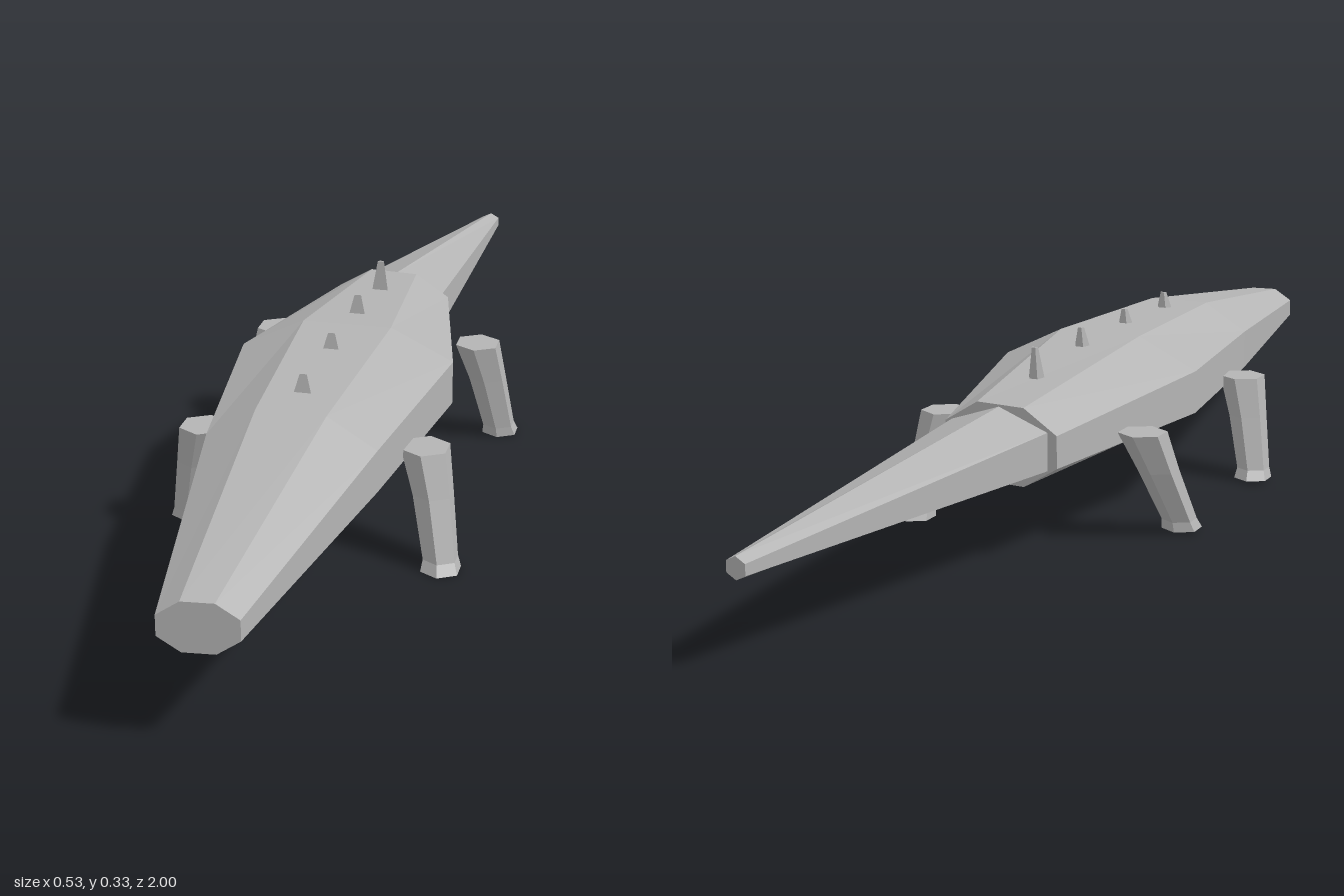
import * as THREE from 'three';

const skin = new THREE.MeshStandardMaterial({ color: 0xb4b4b4, flatShading: true });
skin.name = 'grey skin';

// Skins a list of rings (arrays of Vector3, counter-clockwise seen from the first end) and caps both ends
function loft(name, rings) {
  const pos = [];
  const tri = (...pts) => pts.forEach((p) => pos.push(p.x, p.y, p.z));
  const n = rings[0].length;
  const middle = (ring) => ring.reduce((s, p) => s.add(p), new THREE.Vector3()).divideScalar(n);
  const first = rings[0], last = rings[rings.length - 1];
  const c0 = middle(first), c1 = middle(last);
  for (let j = 0; j < n; j++) {
    const k = (j + 1) % n;
    for (let i = 0; i < rings.length - 1; i++) {
      const a = rings[i], b = rings[i + 1];
      tri(a[j], b[j], a[k]);
      tri(a[k], b[j], b[k]);
    }
    tri(c0, first[j], first[k]);
    tri(c1, last[k], last[j]);
  }
  const geo = new THREE.BufferGeometry();
  geo.setAttribute('position', new THREE.Float32BufferAttribute(pos, 3));
  geo.computeVertexNormals();
  const mesh = new THREE.Mesh(geo, skin);
  mesh.name = name;
  return mesh;
}

// Upright ring across z; skew slides z along x
function crossRing(n, start, [x, y, z, rx, ry, skew = 0]) {
  return Array.from({ length: n }, (_, i) => {
    const a = start + (i / n) * Math.PI * 2;
    const dx = rx * Math.cos(a);
    return new THREE.Vector3(x + dx, y + ry * Math.sin(a), z + dx * skew);
  });
}

// Level hexagon; tilt slides y along x
function levelRing([x, y, z, r, tilt = 0]) {
  return Array.from({ length: 6 }, (_, i) => {
    const a = Math.PI / 6 + (i / 6) * Math.PI * 2;
    const dx = r * Math.cos(a);
    return new THREE.Vector3(x + dx, y + dx * tilt, z - r * Math.sin(a));
  });
}

export function createModel() {
  const group = new THREE.Group();
  group.name = 'crocodile';

  // Body: octagonal sections from the snout to the hips (half width and half height over flats)
  const flat = 1 / Math.cos(Math.PI / 8);
  const sections = [
    [0.009, 0.196, 0.993, 0.06, 0.04, -0.1],
    [0.002, 0.211, 0.47, 0.142, 0.088],
    [0, 0.212, 0.08, 0.191, 0.094],
    [-0.006, 0.193, -0.335, 0.11, 0.068, 0.1],
  ];
  group.add(loft('body', sections.map(([x, y, z, w, h, s]) =>
    crossRing(8, Math.PI / 8, [x, y, z, w * flat, h * flat, s]))));

  // Tail: hexagonal taper swinging to one side
  group.add(loft('tail', [
    crossRing(6, Math.PI / 6, [-0.004, 0.192, -0.33, 0.11, 0.066, 0.1]),
    crossRing(6, Math.PI / 6, [0.073, 0.162, -0.998, 0.02, 0.018, 0.1]),
  ]));

  // Legs: side, hip z, foot z
  const legs = [
    ['frontLeftLeg', 1, 0.32, 0.38],
    ['frontRightLeg', -1, 0.32, 0.28],
    ['backLeftLeg', 1, -0.165, -0.208],
    ['backRightLeg', -1, -0.165, -0.08],
  ];
  for (const [name, side, hip, foot] of legs) {
    const lift = side > 0 ? 0.002 : 0.006;
    const mid = hip + (foot - hip) * 0.35;
    group.add(loft(name, [
      levelRing([side * 0.192, 0.195, hip, 0.043]),
      levelRing([side * 0.21, 0.122, mid, 0.036]),
      levelRing([side * 0.23, 0.018 + lift, foot - Math.sign(foot - hip) * 0.007, 0.031]),
      levelRing([side * 0.232, lift, foot, 0.036]),
    ]));
  }

  // Back spikes: small tapered half cones leaning backwards
  [[0.39, 0.295], [0.2, 0.295], [0.005, 0.29], [-0.183, 0.27]].forEach(([z, base], i) => {
    const half = (r, y, zz) => [0, 1, 2, 3].map((k) => {
      const a = (k / 3) * Math.PI;
      return new THREE.Vector3(r * Math.cos(a), y, zz - r * Math.sin(a));
    });
    group.add(loft('backSpike' + (i + 1), [half(0.006, 0.331, z - 0.007), half(0.016, base, z)]));
  });

  return group;
}
